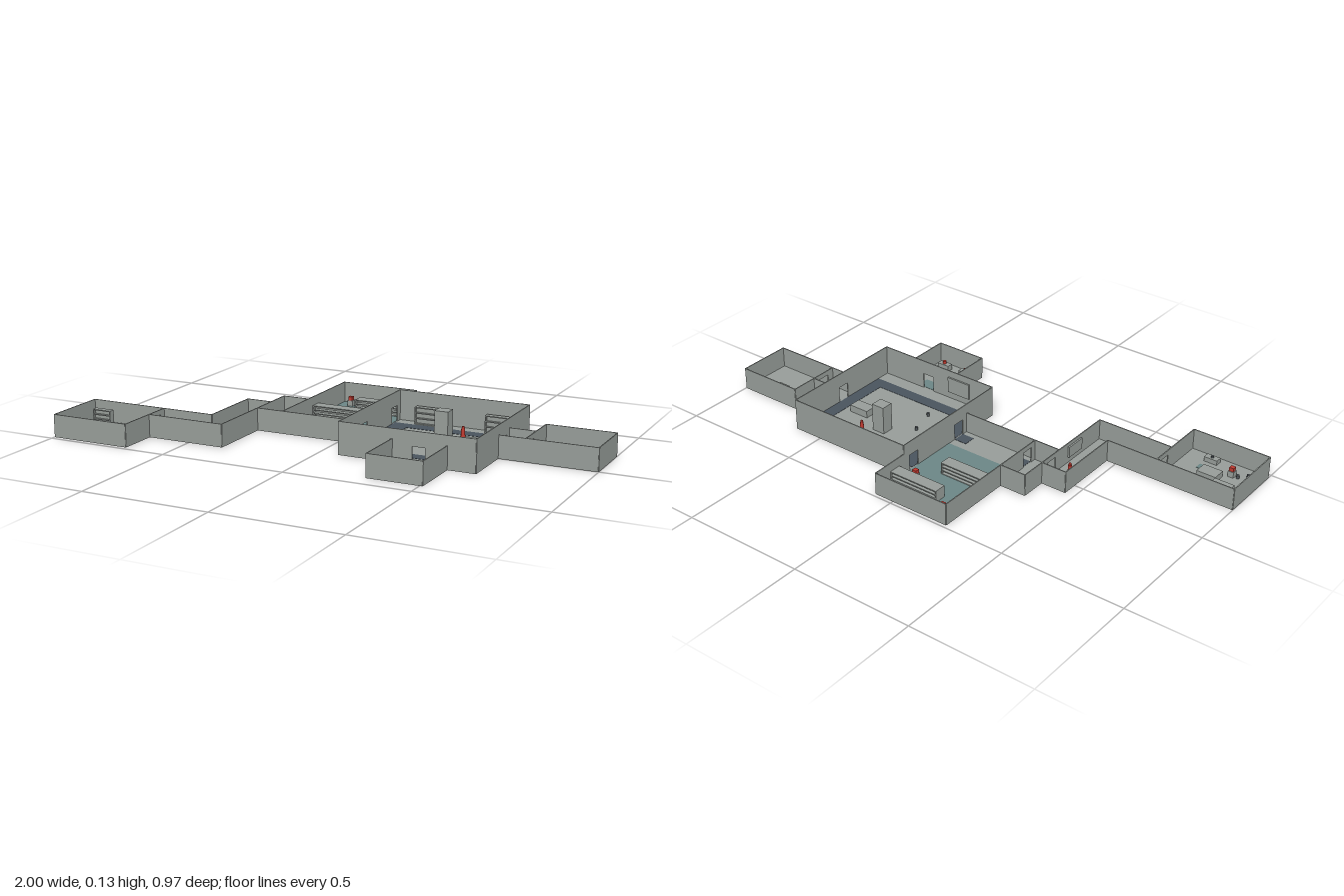
import * as THREE from 'three';

const mat = (name, color) => Object.assign(new THREE.MeshStandardMaterial({ color }), { name });

export function createModel() {
  const stone = mat('grey stone', 0x969c98);
  const water = mat('teal water', 0x6b8585);
  const slate = mat('dark slate', 0x49535d);
  const red = mat('red', 0xc0392f);
  const iron = mat('dark iron', 0x50565a);
  const root = new THREE.Group();
  const FLOOR = 0.006, T = 0.004, LOW = 0.09, HIGH = 0.128;

  // Box given by its limits on each axis
  function block(name, m, x0, x1, y0, y1, z0, z1) {
    const mesh = new THREE.Mesh(new THREE.BoxGeometry(x1 - x0, y1 - y0, z1 - z0), m);
    mesh.position.set((x0 + x1) / 2, (y0 + y1) / 2, (z0 + z1) / 2);
    mesh.name = name;
    root.add(mesh);
  }
  function post(name, m, x, z, r, y0, y1, top = r) {
    const mesh = new THREE.Mesh(new THREE.CylinderGeometry(top, r, y1 - y0, 10), m);
    mesh.position.set(x, (y0 + y1) / 2, z);
    mesh.name = name;
    root.add(mesh);
  }
  const plate = (name, m, x0, x1, z0, z1, y = FLOOR) => block(name, m, x0, x1, y, y + 0.001, z0, z1);

  // Wall along one axis at a fixed coordinate, with door centres cut out
  function wall(axis, at, a, b, height, doors = [], width = 0.05) {
    const piece = (s, e, y0) => axis === 'x'
      ? block('wall', stone, s, e, y0, height, at - T / 2, at + T / 2)
      : block('wall', stone, at - T / 2, at + T / 2, y0, height, s, e);
    let start = a;
    for (const d of doors) {
      piece(start, d - width / 2, 0);
      piece(d - width / 2, d + width / 2, 0.07);
      start = d + width / 2;
    }
    piece(start, b, 0);
  }

  // Floors
  const rooms = [
    [0.08, 0.62, -0.325, 0.215], [-0.245, 0.08, -0.485, 0.05],
    [-0.355, -0.245, -0.165, 0.05], [-0.46, -0.355, -0.06, 0.32],
    [-0.675, -0.46, 0.215, 0.32], [-0.998, -0.675, 0.215, 0.48],
    [0.295, 0.51, 0.215, 0.43], [0.62, 0.725, -0.11, 0], [0.725, 0.998, -0.22, 0],
  ];
  for (const [x0, x1, z0, z1] of rooms) block('floor', stone, x0, x1, 0, FLOOR, z0, z1);

  // Great hall walls
  wall('x', -0.325, 0.08, 0.62, HIGH);
  wall('x', 0.215, 0.08, 0.62, HIGH, [0.4]);
  wall('z', 0.08, -0.325, 0.215, HIGH, [-0.27, 0]);
  wall('z', 0.62, -0.325, 0.215, HIGH, [-0.055]);
  // Pool room and the corridors to the west
  wall('x', -0.485, -0.245, 0.08, LOW);
  wall('x', 0.05, -0.355, 0.08, LOW);
  wall('z', 0.08, -0.485, -0.325, LOW);
  wall('z', -0.245, -0.485, 0.05, LOW, [0]);
  wall('x', -0.165, -0.355, -0.245, LOW);
  wall('z', -0.355, -0.165, 0.32, LOW, [0]);
  wall('x', -0.06, -0.46, -0.355, LOW);
  wall('z', -0.46, -0.06, 0.215, LOW);
  wall('x', 0.32, -0.675, -0.355, LOW);
  wall('x', 0.215, -0.998, -0.46, LOW);
  // West room
  wall('x', 0.48, -0.998, -0.675, LOW);
  wall('z', -0.998, 0.215, 0.48, LOW);
  wall('z', -0.675, 0.215, 0.48, LOW, [0.267]);
  // South room
  wall('z', 0.295, 0.215, 0.43, LOW);
  wall('z', 0.51, 0.215, 0.43, LOW);
  wall('x', 0.43, 0.295, 0.51, LOW);
  // East corridor and room
  wall('x', -0.11, 0.62, 0.725, LOW);
  wall('x', 0, 0.62, 0.998, LOW);
  wall('z', 0.725, -0.22, 0, LOW, [-0.055]);
  wall('x', -0.22, 0.725, 0.998, LOW);
  wall('z', 0.998, -0.22, 0, LOW);

  // Dark ring around the hall platform
  plate('moat', slate, 0.083, 0.155, -0.275, 0.155);
  plate('moat', slate, 0.565, 0.617, -0.275, 0.155);
  plate('moat', slate, 0.155, 0.565, -0.275, -0.22);
  plate('moat', slate, 0.155, 0.565, 0.105, 0.155);
  // Water and threshold panels
  plate('pool', water, -0.243, 0.078, -0.483, -0.06);
  plate('threshold', slate, -0.243, -0.19, -0.025, 0.025);
  plate('threshold', slate, 0.025, 0.078, -0.025, 0.025);
  plate('southCarpet', water, 0.345, 0.455, 0.218, 0.27);
  plate('westCarpet', water, -0.81, -0.755, 0.37, 0.4);

  // Shelves: back, ends and stacked boards
  function shelf(x0, x1, z0, z1, h) {
    const mid = (z0 + z1) / 2;
    block('shelfBack', stone, x0, x1, FLOOR, h, mid - 0.002, mid + 0.002);
    for (const x of [x0, x1 - 0.004]) block('shelfEnd', stone, x, x + 0.004, FLOOR, h, z0, z1);
    for (let i = 0; i < 4; i++) {
      const y = FLOOR + (h - FLOOR - 0.004) * i / 3;
      block('shelfBoard', stone, x0, x1, y, y + 0.004, z0, z1);
    }
  }
  shelf(0.16, 0.265, -0.31, -0.285, 0.075);
  shelf(0.455, 0.56, -0.31, -0.285, 0.075);
  shelf(-0.97, -0.89, 0.245, 0.27, 0.065);
  shelf(-0.135, 0.078, -0.405, -0.355, 0.055);
  shelf(-0.243, -0.03, -0.245, -0.195, 0.055);

  // Hall furniture
  block('column', stone, 0.32, 0.375, FLOOR, 0.12, -0.16, -0.11);
  block('hallTable', stone, 0.45, 0.535, FLOOR, 0.035, -0.11, -0.06);
  block('hallPanel', stone, 0.19, 0.295, 0.035, 0.1, 0.206, 0.213);
  block('corridorPanel', stone, -0.364, -0.357, 0.03, 0.075, 0.105, 0.19);
  for (const [x, z] of [[0.24, -0.06], [0.27, 0.05], [-0.945, 0.425], [-0.915, 0.4]])
    post('stool', iron, x, z, 0.006, FLOOR, 0.02);

  // Red standing figures
  for (const [x, z] of [[0.405, -0.19], [-0.405, 0.05]]) {
    post('figureBody', red, x, z, 0.009, FLOOR, 0.042, 0.007);
    post('figureHead', red, x, z, 0.005, 0.042, 0.05);
  }
  // Red markers on square stands
  for (const [x, z] of [[-0.19, -0.435], [0.025, -0.325], [-0.89, 0.4]]) {
    block('stand', stone, x - 0.012, x + 0.012, FLOOR, 0.03, z - 0.012, z + 0.012);
    block('marker', red, x - 0.009, x + 0.009, 0.03, 0.045, z - 0.009, z + 0.009);
  }
  // South room pedestals
  for (const x of [0.347, 0.455]) {
    block('pedestal', stone, x - 0.027, x + 0.027, FLOOR, 0.03, 0.375, 0.4);
    post('lamp', red, x, 0.387, 0.007, 0.03, 0.042);
  }
  // East room altar with bowl
  block('altar', stone, 0.835, 0.885, FLOOR, 0.03, -0.19, -0.14);
  post('bowl', iron, 0.86, -0.165, 0.005, 0.03, 0.04, 0.009);
  // West room furniture
  block('westTable', stone, -0.865, -0.785, FLOOR, 0.03, 0.32, 0.375);
  block('chest', stone, -0.81, -0.755, FLOOR, 0.025, 0.427, 0.455);
  post('chestKnob', iron, -0.783, 0.44, 0.006, 0.025, 0.032);

  return root;
}
